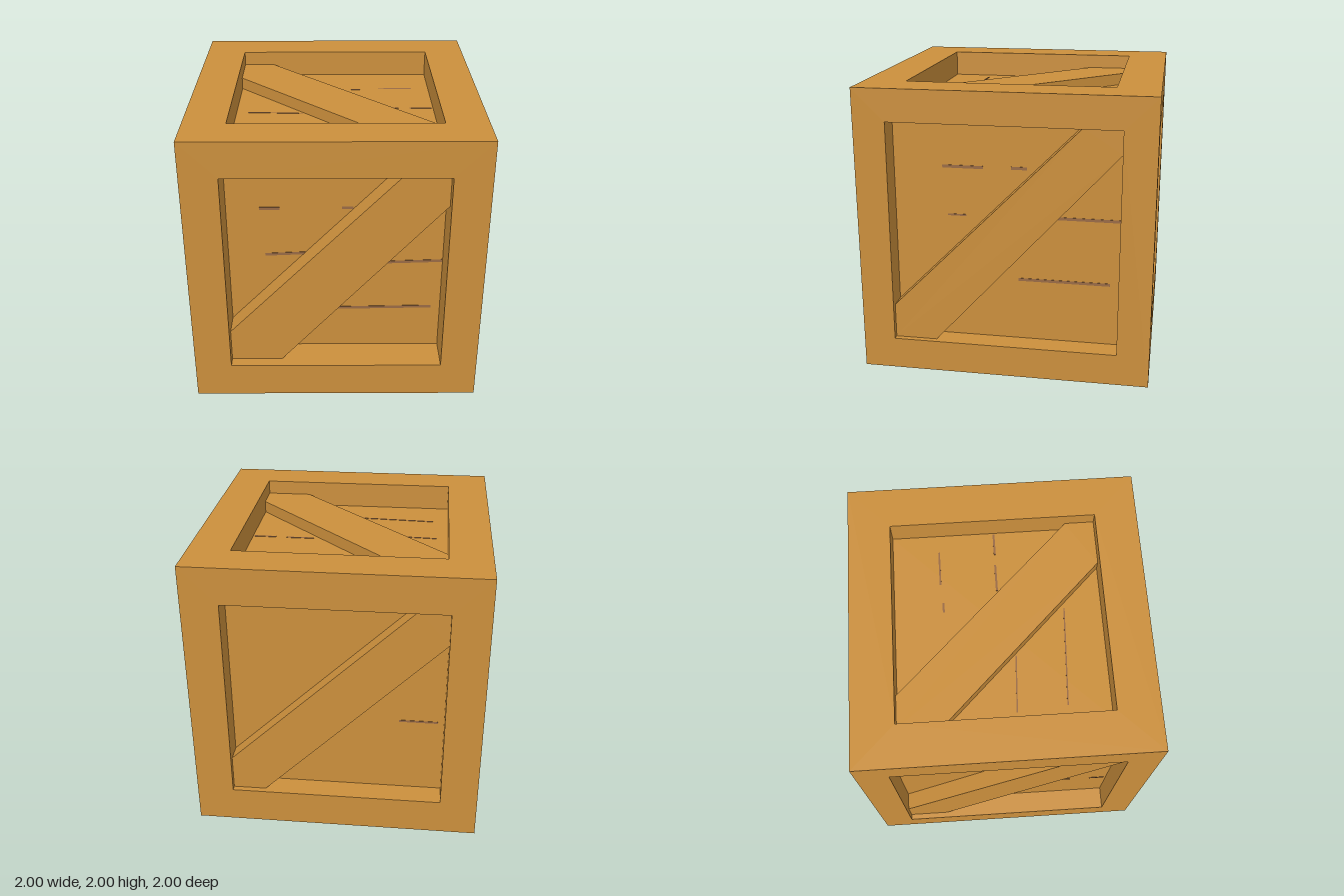
import * as THREE from 'three';
import { mergeGeometries } from 'three/addons/utils/BufferGeometryUtils.js';

const wood = new THREE.MeshStandardMaterial({ color: 0xcb8f3c });
wood.name = 'wood';
const grainBrown = new THREE.MeshStandardMaterial({ color: 0x996a44 });
grainBrown.name = 'grainBrown';

function add(group, name, geometry, material = wood) {
  const mesh = new THREE.Mesh(geometry, material);
  mesh.name = name;
  group.add(mesh);
  return mesh;
}

// Corners of a centred square of half-width r
function square(r) {
  return [0, 1, 2, 3].map(i => new THREE.Vector2(-r, -r).rotateAround(new THREE.Vector2(), i * Math.PI / 2));
}

// Square border of a crate face around an opening of half-width a
function frameGeometry(a) {
  const shape = new THREE.Shape(square(1));
  shape.holes.push(new THREE.Path(square(a)));
  return new THREE.ShapeGeometry(shape).translate(0, 0, 1);
}

// Four inward-facing walls from the opening down to the recessed panel
function recessGeometry(a, depth) {
  const walls = [];
  for (let i = 0; i < 4; i++) {
    walls.push(new THREE.PlaneGeometry(2 * a, depth)
      .rotateX(-Math.PI / 2)
      .translate(0, -a, 1 - depth / 2)
      .rotateZ(i * Math.PI / 2));
  }
  return mergeGeometries(walls);
}

// Diagonal brace cut to fit two opposite corners of the opening
function braceGeometry(a, depth, { front, left, bottom, right, top, mirror = 1 }) {
  const outline = [[-a, -a], [bottom, -a], [a, right], [a, a], [top, a], [-a, left]];
  const shape = new THREE.Shape(outline.map(([u, v]) => new THREE.Vector2(u * mirror, v)));
  return new THREE.ExtrudeGeometry(shape, { depth: depth - front, bevelEnabled: false })
    .translate(0, 0, 1 - depth);
}

// One crate side, laid out with u to the right and v up as seen from outside
function addSide(body, name, tilt, turn, a, depth, brace) {
  const side = new THREE.Group();
  side.name = name + 'Side';
  side.rotation.set(tilt, turn, 0);
  body.add(side);
  add(side, name + 'Frame', frameGeometry(a));
  add(side, name + 'Recess', recessGeometry(a, depth));
  add(side, name + 'Panel', new THREE.PlaneGeometry(2 * a, 2 * a).translate(0, 0, 1 - depth));
  if (brace) add(side, name + 'Brace', braceGeometry(a, depth, brace));

  // Thin wood-grain mark on the panel, from u0 to u1 at height v
  return (u0, u1, v, height = 0.02) => {
    const mark = add(side, name + 'Grain', new THREE.BoxGeometry(u1 - u0, height, 0.004), grainBrown);
    mark.position.set((u0 + u1) / 2, v, 1 - depth + 0.001);
    return mark;
  };
}

export function createModel() {
  const model = new THREE.Group();
  model.name = 'crate';
  const body = new THREE.Group();
  body.name = 'crateBody';
  body.position.y = 1;
  model.add(body);
  const quarter = Math.PI / 2;

  // Front: deepest panel, thick brace
  const frontMark = addSide(body, 'front', 0, 0, 0.745, 0.25,
    { front: 0.08, left: -0.505, bottom: -0.385, right: 0.5, top: 0.46 });
  frontMark(-0.52, -0.38, 0.395);
  frontMark(0.04, 0.12, 0.4);
  frontMark(-0.49, -0.2, 0.038).rotation.z = 0.04;
  frontMark(0.35, 0.74, -0.028).rotation.z = 0.03;
  frontMark(-0.02, 0.68, -0.414).rotation.z = 0.015;

  // Back
  const backMark = addSide(body, 'back', 0, 2 * quarter, 0.742, 0.165,
    { front: 0.04, left: -0.49, bottom: -0.51, right: 0.5, top: 0.54 });
  backMark(0.43, 0.7, -0.178, 0.014);

  // Right and left share the same brace
  const sideBrace = { front: 0.04, left: -0.535, bottom: -0.485, right: 0.61, top: 0.52 };
  const rightMark = addSide(body, 'right', 0, quarter, 0.778, 0.16, sideBrace);
  rightMark(-0.44, -0.16, 0.455);
  rightMark(0.03, 0.14, 0.46);
  rightMark(-0.41, -0.28, 0.113, 0.012);
  rightMark(0.34, 0.77, 0.123);
  rightMark(0.08, 0.71, -0.335);
  const leftMark = addSide(body, 'left', 0, -quarter, 0.778, 0.16, sideBrace);
  leftMark(0.47, 0.63, 0.03);
  leftMark(0.38, 0.5, -0.35);
  leftMark(0.65, 0.76, -0.36);

  // Top: brace runs the other way
  const topMark = addSide(body, 'top', -quarter, 0, 0.71, 0.185,
    { front: 0.1, left: -0.51, bottom: -0.39, right: 0.4, top: 0.49, mirror: -1 });
  topMark(0.12, 0.19, 0.373, 0.014);
  topMark(0.33, 0.58, 0.387, 0.012);
  topMark(0.26, 0.46, -0.002, 0.014);
  topMark(0.54, 0.7, -0.005, 0.014);
  topMark(-0.63, -0.23, -0.09, 0.009).rotation.z = -0.05;
  topMark(-0.6, 0.1, -0.437, 0.009).rotation.z = -0.05;

  // Bottom: plain recess without a brace
  addSide(body, 'bottom', quarter, 0, 0.785, 0.155);

  return model;
}
